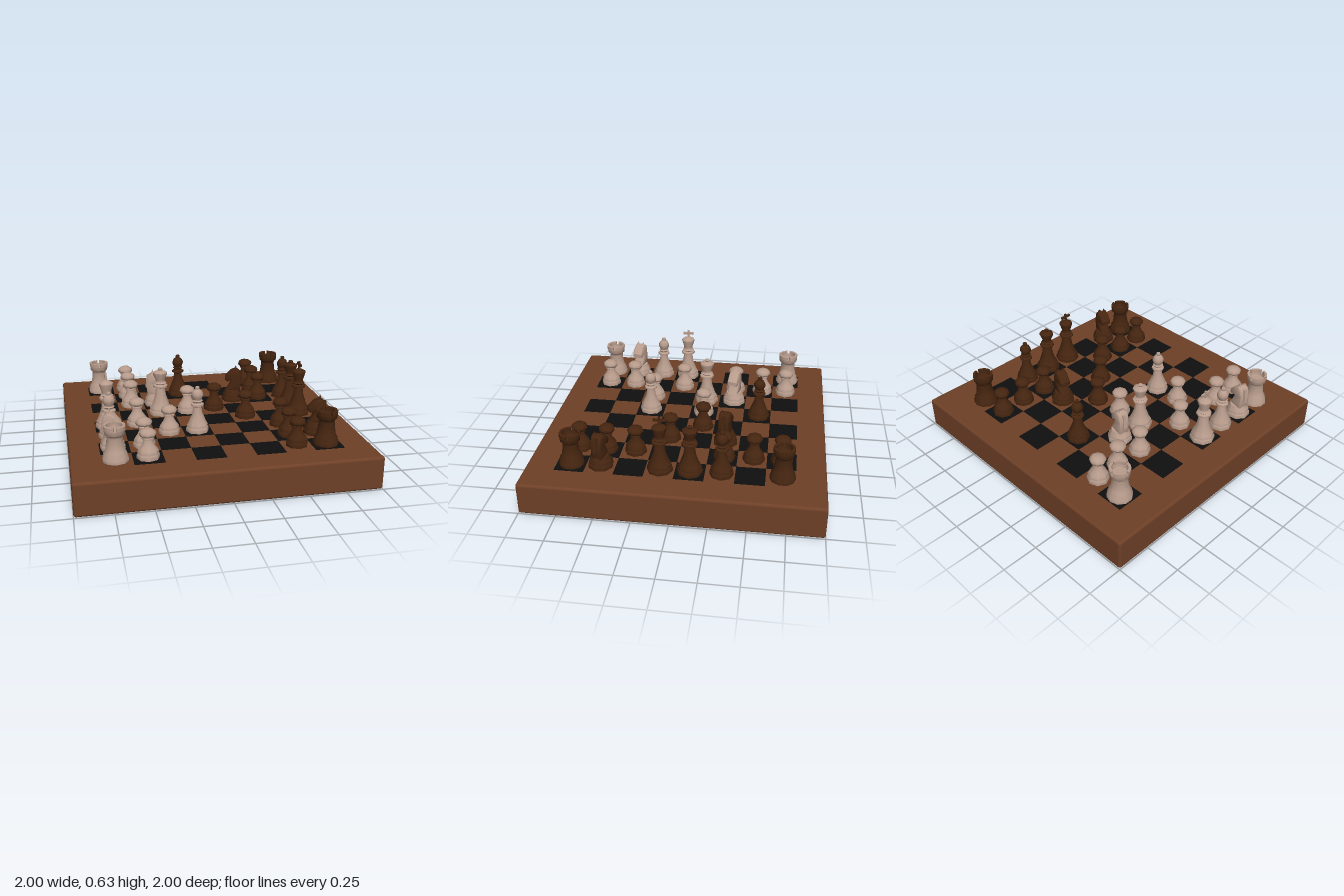
import * as THREE from 'three';
import { mergeGeometries, toCreasedNormals } from 'three/addons/utils/BufferGeometryUtils.js';
import { RoundedBoxGeometry } from 'three/addons/geometries/RoundedBoxGeometry.js';

const TOP = 0.23; // height of the playing surface

function material(name, color) {
  const m = new THREE.MeshStandardMaterial({ color });
  m.name = name;
  return m;
}

// Turned body from [radius, height] pairs
function turned(points, sides = 8) {
  const g = new THREE.LatheGeometry(points.map(([r, y]) => new THREE.Vector2(r, y)), sides);
  return toCreasedNormals(g, 0.9);
}

function join(parts) {
  return mergeGeometries(parts.map((g) => {
    const n = g.index ? g.toNonIndexed() : g;
    n.deleteAttribute('uv');
    n.clearGroups();
    return n;
  }));
}

// Stepped foot shared by the pieces
const foot = (r) => [[0, 0], [r, 0], [r, 0.025], [r * 0.92, 0.035], [r * 0.92, 0.05], [r * 0.76, 0.07]];

function pawn() {
  return turned([...foot(0.075), [0.042, 0.09], [0.031, 0.118], [0.029, 0.128], [0.04, 0.131],
    [0.04, 0.14], [0.03, 0.145], [0.05, 0.15], [0.057, 0.165], [0.052, 0.182], [0.034, 0.195], [0, 0.2]]);
}

function rook() {
  const body = turned([...foot(0.086), [0.058, 0.11], [0.052, 0.16], [0.055, 0.175], [0.068, 0.185],
    [0.071, 0.215], [0.053, 0.215], [0.05, 0.2], [0, 0.195]], 10);
  // Four battlements around the hollow top
  const parts = [body];
  for (let i = 0; i < 4; i++) {
    const a = i * Math.PI / 2 + 0.13, b = a + Math.PI / 2 - 0.26;
    const s = new THREE.Shape();
    s.absarc(0, 0, 0.071, a, b, false);
    s.absarc(0, 0, 0.053, b, a, true);
    const g = new THREE.ExtrudeGeometry(s, { depth: 0.025, bevelEnabled: false, curveSegments: 4 });
    parts.push(g.rotateX(-Math.PI / 2).translate(0, 0.215, 0));
  }
  return join(parts);
}

function bishop() {
  return turned([...foot(0.08), [0.052, 0.095], [0.036, 0.13], [0.029, 0.18], [0.046, 0.188], [0.046, 0.2],
    [0.03, 0.207], [0.03, 0.215], [0.039, 0.222], [0.03, 0.23], [0.041, 0.255], [0.042, 0.272],
    [0.032, 0.293], [0.014, 0.306], [0.017, 0.314], [0.014, 0.323], [0, 0.327]]);
}

const royalStem = [...foot(0.087), [0.056, 0.1], [0.042, 0.14], [0.033, 0.2], [0.053, 0.208], [0.053, 0.221],
  [0.036, 0.229], [0.046, 0.238], [0.034, 0.247], [0.034, 0.265]];

function queen() {
  return turned([...royalStem, [0.053, 0.305], [0.053, 0.318], [0.042, 0.322], [0.024, 0.332],
    [0.015, 0.335], [0.018, 0.343], [0.012, 0.351], [0, 0.353]]);
}

function king() {
  const body = turned([...royalStem, [0.05, 0.315], [0.05, 0.325], [0.042, 0.332], [0.015, 0.345], [0, 0.347]]);
  // Cross with its arms along z
  return join([body,
    new THREE.BoxGeometry(0.013, 0.065, 0.014).translate(0, 0.368, 0),
    new THREE.BoxGeometry(0.013, 0.017, 0.08).translate(0, 0.377, 0)]);
}

function knight() {
  const base = turned([...foot(0.086), [0.06, 0.085], [0, 0.09]]);
  // Horse head in profile, muzzle towards +x
  const s = new THREE.Shape();
  s.moveTo(-0.052, 0.08);
  s.quadraticCurveTo(-0.075, 0.17, -0.045, 0.235);
  s.lineTo(-0.02, 0.252);
  s.lineTo(0.018, 0.235);
  s.lineTo(0.058, 0.19);
  s.lineTo(0.058, 0.165);
  s.lineTo(0.04, 0.155);
  s.lineTo(0.01, 0.17);
  s.quadraticCurveTo(0.015, 0.14, 0.052, 0.08);
  const bevel = { depth: 0.05, bevelSize: 0.006, bevelThickness: 0.012, bevelOffset: -0.004, bevelSegments: 2, curveSegments: 5 };
  const head = toCreasedNormals(new THREE.ExtrudeGeometry(s, bevel).translate(0, 0, -0.025), 0.7);
  const parts = [base, head];
  // Paired ears and the ridge of the mane
  for (const side of [-1, 1]) {
    parts.push(new THREE.ConeGeometry(0.016, 0.045, 6).translate(-0.022, 0.25, side * 0.021));
  }
  const mane = new THREE.BoxGeometry(0.025, 0.1, 0.022);
  parts.push(mane.rotateZ(-0.12).translate(-0.056, 0.185, 0));
  return join(parts);
}

export function createModel() {
  const model = new THREE.Group();
  const wood = material('boardBrown', 0x6e4027);
  const black = material('squareBlack', 0x0f0f0f);
  const pale = material('paleWood', 0xb89c8c);
  const dark = material('darkWood', 0x452510);

  function add(parent, name, geometry, mat, x, y, z) {
    const mesh = new THREE.Mesh(geometry, mat);
    mesh.name = name;
    mesh.position.set(x, y, z);
    parent.add(mesh);
    return mesh;
  }

  // Board with softened edges
  add(model, 'board', new RoundedBoxGeometry(2, TOP - 0.002, 2, 3, 0.018), wood, 0, TOP / 2, 0);

  // Black squares, with the opposite pattern underneath
  const squares = new THREE.Group();
  squares.name = 'squares';
  model.add(squares);
  const upper = new THREE.BoxGeometry(0.2, 0.004, 0.2);
  const lower = new THREE.BoxGeometry(0.18, 0.004, 0.18);
  for (let i = 0; i < 8; i++) {
    for (let j = 0; j < 8; j++) {
      const x = -0.7 + i * 0.2, z = -0.7 + j * 0.2;
      if ((i + j) % 2 === 0) add(squares, 'topSquare', upper, black, x, TOP - 0.002, z);
      else add(squares, 'bottomSquare', lower, black, x, 0.002, z);
    }
  }

  // Pieces in play: positions for each side
  const shapes = { pawn: pawn(), rook: rook(), knight: knight(), bishop: bishop(), queen: queen(), king: king() };
  const sides = [
    { name: 'palePieces', mat: pale, turn: 0, at: {
      pawn: [[-0.5, -0.7], [-0.5, -0.52], [-0.5, -0.31], [-0.5, 0.1], [-0.5, 0.5], [-0.5, 0.7], [-0.3, 0.3], [-0.1, -0.1]],
      rook: [[-0.71, -0.71], [-0.71, 0.7]],
      knight: [[-0.31, -0.31], [-0.71, 0.5]],
      bishop: [[-0.71, 0.3], [-0.1, 0.3]],
      queen: [[-0.3, -0.1]],
      king: [[-0.71, 0.1]] } },
    { name: 'darkPieces', mat: dark, turn: Math.PI, at: {
      pawn: [[0.5, -0.7], [0.5, -0.51], [0.5, -0.31], [0.11, -0.12], [0.3, 0.09], [0.5, 0.3], [0.5, 0.5], [0.5, 0.69]],
      rook: [[0.7, -0.71], [0.7, 0.7]],
      knight: [[0.3, -0.3], [0.7, 0.5]],
      bishop: [[0.7, -0.31], [-0.1, -0.51]],
      queen: [[0.7, -0.1]],
      king: [[0.7, 0.1]] } },
  ];
  for (const side of sides) {
    const group = new THREE.Group();
    group.name = side.name;
    model.add(group);
    for (const [kind, spots] of Object.entries(side.at)) {
      for (const [x, z] of spots) {
        const piece = add(group, kind, shapes[kind], side.mat, x, TOP, z);
        piece.rotation.y = side.turn + (kind === 'knight' ? -0.25 : 0);
      }
    }
  }
  return model;
}
